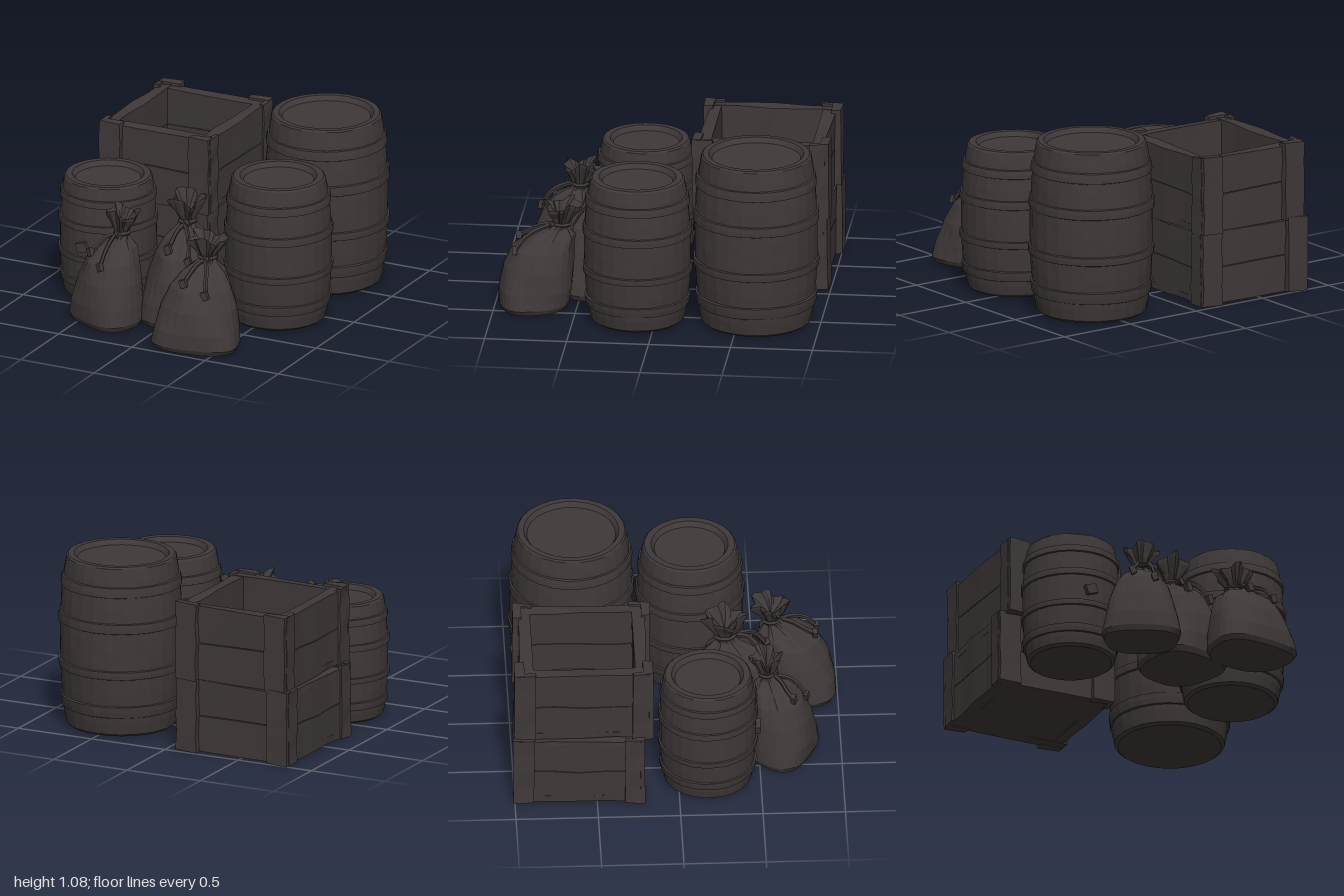
import * as THREE from 'three';

const wood = new THREE.MeshStandardMaterial({ color: 0x3f3838, flatShading: true });
wood.name = 'darkBrown';

function addMesh(parent, name, geometry, x = 0, y = 0, z = 0) {
  const mesh = new THREE.Mesh(geometry, wood);
  mesh.name = name;
  mesh.position.set(x, y, z);
  parent.add(mesh);
  return mesh;
}

// Move every vertex by a rule
function deform(geometry, rule) {
  const p = geometry.attributes.position;
  const v = new THREE.Vector3();
  for (let i = 0; i < p.count; i++) {
    v.fromBufferAttribute(p, i);
    rule(v, i);
    p.setXYZ(i, v.x, v.y, v.z);
  }
  geometry.computeVertexNormals();
  return geometry;
}

// Slightly uneven lathe for hand-hewn round parts
function roughLathe(points, amount, seed) {
  const g = new THREE.LatheGeometry(points.map(([r, y]) => new THREE.Vector2(r, y)), 26);
  return deform(g, v => {
    const a = Math.atan2(v.x, v.z);
    const k = 1 + amount * (Math.sin(3 * a + seed + v.y * 9) + Math.sin(7 * a + seed * 2 - v.y * 23));
    v.x *= k;
    v.z *= k;
  });
}

function makeBarrel(name, x, z, height, rMax, rEnd, rLid, seed) {
  const barrel = new THREE.Group();
  barrel.name = name;
  barrel.position.set(x, 0, z);
  const radius = t => rEnd + (rMax - 0.01 - rEnd) * (1 - Math.abs(2 * t - 1) ** 2.3);

  // Staves, raised rim and sunken lid
  const profile = [[0, 0], [rEnd - 0.02, 0], [rEnd, 0.015]];
  for (let i = 1; i < 12; i++) profile.push([radius(i / 12), height * i / 12]);
  profile.push([rEnd, height - 0.01], [rEnd - 0.01, height], [rLid + 0.02, height],
    [rLid, height - 0.03], [0, height - 0.03]);
  addMesh(barrel, 'barrelBody', roughLathe(profile, 0.003, seed));

  // Hoops
  for (const [a, b] of [[0.11, 0.19], [0.34, 0.4], [0.61, 0.68], [0.82, 0.89]]) {
    const m = (a + b) / 2;
    const hoop = [[radius(a) - 0.01, a], [radius(a) + 0.01, a + 0.008], [radius(m) + 0.011, m],
      [radius(b) + 0.01, b - 0.008], [radius(b) - 0.01, b]];
    addMesh(barrel, 'barrelHoop', roughLathe(hoop.map(([r, t]) => [r, t * height]), 0.003, seed + a * 20));
  }
  return barrel;
}

// Worn board
function board(parent, name, w, h, d, x, y, z) {
  const g = deform(new THREE.BoxGeometry(w, h, d, w > 0.3 ? 4 : 1, h > 0.3 ? 4 : 1, d > 0.3 ? 4 : 1), v => {
    const s = (v.x + x) * 13 + (v.y + y) * 17 + (v.z + z) * 11;
    v.x += 0.004 * Math.sin(s * 1.7);
    v.y += 0.005 * Math.sin(s * 2.3 + 1);
    v.z += 0.004 * Math.sin(s * 2.9 + 2);
  });
  return addMesh(parent, name, g, x, y, z);
}

function makeCrate(name, hx, hz, height, closed) {
  const crate = new THREE.Group();
  crate.name = name;
  const t = 0.075, plate = 0.03, plankH = height / 2 - 0.006;
  board(crate, 'crateFloor', 2 * hx - 0.02, 0.04, 2 * hz - 0.02, 0, 0.025, 0);
  if (closed) board(crate, 'crateLid', 2 * hx - 0.02, 0.04, 2 * hz - 0.02, 0, height - 0.03, 0);
  for (const s of [-1, 1]) {
    // Two planks per side over a thin backing
    for (const y of [plankH / 2 + 0.004, height - plankH / 2 - 0.004]) {
      board(crate, 'endPlank', 2 * hx - 0.01, plankH, t, 0, y, s * (hz - t / 2));
      board(crate, 'sidePlank', t, plankH, 2 * hz - 0.02, s * (hx - 0.01 - t / 2), y, 0);
    }
    board(crate, 'endBacking', 2 * hx - 0.06, height - 0.04, t - 0.02, 0, height / 2, s * (hz - t / 2));
    board(crate, 'sideBacking', t - 0.02, height - 0.04, 2 * hz - 0.06, s * (hx - 0.01 - t / 2), height / 2, 0);
    // Corner battens
    for (const c of [-1, 1]) {
      board(crate, 'cornerBatten', 0.14, height + 0.015, plate + 0.03, c * (hx - 0.07), height / 2 + 0.007, s * (hz + plate / 2 - 0.01));
      board(crate, 'cornerPost', 0.03, height + 0.01, 0.1, c * (hx - 0.012), height / 2 + 0.005, s * (hz - 0.04));
    }
  }
  return crate;
}

// Sack rows: height, half width, half depth, forward shift, squareness, pleats
const sackRows = [
  [0, 0, 0, 0.17, 0, 0], [0, 0.25, 0.2, 0.17, 1, 0], [0.03, 0.265, 0.215, 0.17, 1, 0],
  [0.12, 0.255, 0.225, 0.16, 0.6, 0], [0.25, 0.228, 0.212, 0.14, 0.2, 0.01],
  [0.36, 0.185, 0.185, 0.11, 0, 0.03], [0.43, 0.13, 0.14, 0.06, 0, 0.07],
  [0.48, 0.062, 0.062, 0.02, 0, 0.14], [0.51, 0.045, 0.045, 0, 0, 0.12],
  [0.55, 0.066, 0.066, 0, 0, 0.2], [0.61, 0.108, 0.1, -0.01, 0, 0.22],
  [0.63, 0.112, 0.105, -0.01, 0, 0.22], [0.59, 0.07, 0.065, 0, 0, 0.2], [0.53, 0, 0, 0, 0, 0]
];

function makeSack(name, x, z, yaw, sx, sy, sz, shift, seed) {
  const sack = new THREE.Group();
  sack.name = name;
  sack.position.set(x, 0, z);
  sack.rotation.y = yaw;
  sack.scale.set(sx, sy, sz);
  const n = sackRows.length;
  const soft = (c, p) => Math.sign(c) * Math.abs(c) ** p;

  // Cloth body, pinched neck and open frill
  const base = new THREE.LatheGeometry(sackRows.map(r => new THREE.Vector2(1, r[0])), 28);
  addMesh(sack, 'sackCloth', deform(base, (v, i) => {
    const [y, w, d, off, sq, pleat] = sackRows[i % n];
    const a = Math.floor(i / n) % 28 / 28 * Math.PI * 2;
    const p = 1 - 0.3 * sq;
    const k = 1 + pleat * Math.cos(7 * a + seed) + 0.012 * Math.sin(4 * a + seed + y * 20);
    const front = soft(Math.cos(a), p);
    v.x = w * k * soft(Math.sin(a), p) * (1 + 0.12 * sq * front);
    v.z = d * k * front + off * shift;
    v.y = y + (y > 0.56 ? 0.022 * Math.sin(3 * a + seed) : 0);
  }));

  // Cord round the neck with a knot and two loose tails
  const cord = addMesh(sack, 'neckCord', new THREE.TorusGeometry(0.048, 0.014, 5, 14), 0, 0.505, 0);
  cord.rotation.x = Math.PI / 2;
  addMesh(sack, 'cordKnot', new THREE.IcosahedronGeometry(0.028), 0.01, 0.5, 0.055);
  for (const [dx, drop] of [[0.09, 0.36], [-0.06, 0.41]]) {
    const reach = (drop < 0.4 ? 0.19 : 0.16) + 0.1 * shift;
    const path = new THREE.CatmullRomCurve3([
      new THREE.Vector3(0, 0.5, 0.06), new THREE.Vector3(dx * 0.4, 0.49, 0.12),
      new THREE.Vector3(dx * 0.8, 0.445, reach * 0.76), new THREE.Vector3(dx, drop, reach)]);
    addMesh(sack, 'cordTail', new THREE.TubeGeometry(path, 6, 0.014, 5));
    const end = addMesh(sack, 'cordEnd', new THREE.BoxGeometry(0.04, 0.05, 0.03), dx, drop, reach);
    end.rotation.z = 0.4;
  }
  return sack;
}

export function createModel() {
  const model = new THREE.Group();
  model.name = 'storageGoods';

  model.add(makeBarrel('largeBarrel', 0.5, -0.605, 1.07, 0.385, 0.335, 0.27, 1));
  model.add(makeBarrel('mediumBarrel', 0.545, 0.115, 0.91, 0.335, 0.285, 0.215, 2.4));
  const small = makeBarrel('smallBarrel', -0.585, 0.18, 0.75, 0.305, 0.268, 0.2, 4);
  model.add(small);
  // Bung on the small barrel
  const bung = addMesh(small, 'bung', new THREE.BoxGeometry(0.07, 0.06, 0.04), -0.02, 0.365, 0.3);
  bung.rotation.z = 0.3;

  const lower = makeCrate('lowerCrate', 0.385, 0.365, 0.45, true);
  lower.position.set(-0.465, 0, -0.595);
  lower.rotation.y = -0.035;
  const upper = makeCrate('upperCrate', 0.375, 0.385, 0.47, false);
  upper.position.set(-0.445, 0.45, -0.575);
  upper.rotation.y = -0.01;
  model.add(lower, upper);

  model.add(makeSack('leftSack', -0.3, 0.55, -0.45, 0.88, 1.07, 0.86, 0.75, 1));
  model.add(makeSack('rightSack', 0.31, 0.6, 0.12, 1, 1, 1, 1, 2));
  model.add(makeSack('backSack', 0.025, 0.31, 0.2, 0.92, 1.18, 1.16, 0.5, 3));
  return model;
}
